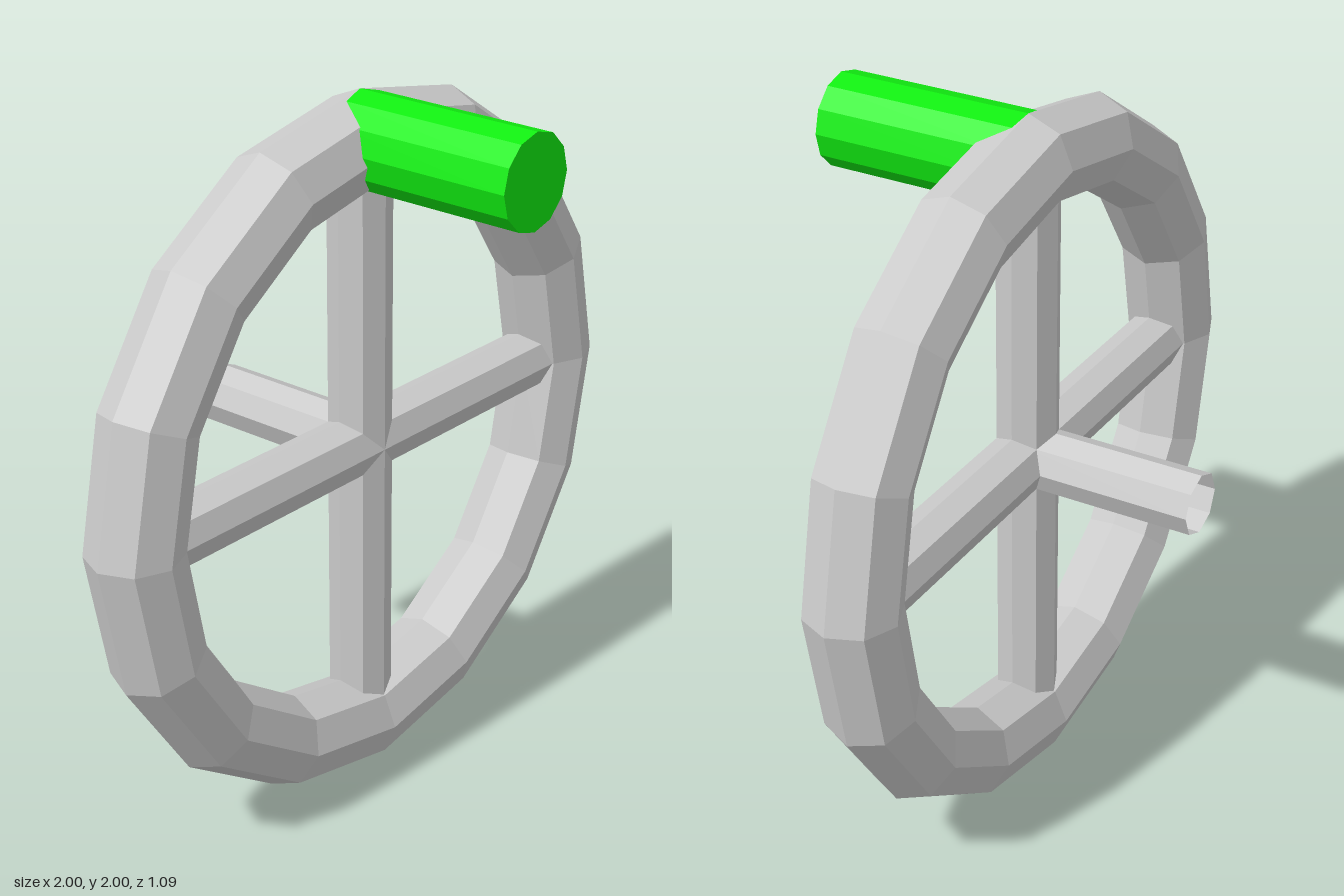
import * as THREE from 'three';

const CENTER_Y = 1.0, CENTER_Z = -0.02;
const RING_R = 0.87, TUBE_R = 0.13, SPOKE_R = 0.088;

const grey = new THREE.MeshStandardMaterial({ color: 0xcccccc, flatShading: true });
const greyOpen = new THREE.MeshStandardMaterial({ color: 0xcccccc, flatShading: true, side: THREE.DoubleSide });
const green = new THREE.MeshStandardMaterial({ color: 0x11ee11, flatShading: true });

function part(name, geometry, material, y = CENTER_Y, z = CENTER_Z) {
  const mesh = new THREE.Mesh(geometry, material);
  mesh.name = name;
  mesh.position.set(0, y, z);
  return mesh;
}

// Cylinder along z, from the wheel plane to a signed length
function rodZ(radius, length, sides, open) {
  const g = new THREE.CylinderGeometry(radius, radius, Math.abs(length), sides, 1, open);
  return g.rotateX(Math.PI / 2).translate(0, 0, length / 2);
}

export function createModel() {
  const group = new THREE.Group();
  group.name = 'handWheel';

  // Octagonal rim
  group.add(part('rim', new THREE.TorusGeometry(RING_R, TUBE_R, 8, 16), grey));

  // Two crossing bars, ends buried in the rim
  const bar = () => new THREE.CylinderGeometry(SPOKE_R, SPOKE_R, 2 * RING_R, 8);
  group.add(part('verticalSpokes', bar(), grey));
  group.add(part('horizontalSpokes', bar().rotateZ(Math.PI / 2), grey));

  // Hollow axle at the back
  group.add(part('axle', rodZ(SPOKE_R, -0.525, 8, true), greyOpen));

  // Crank handle at the top of the rim
  group.add(part('handle', rodZ(TUBE_R, 0.565, 12, false), green, CENTER_Y + RING_R));

  return group;
}
